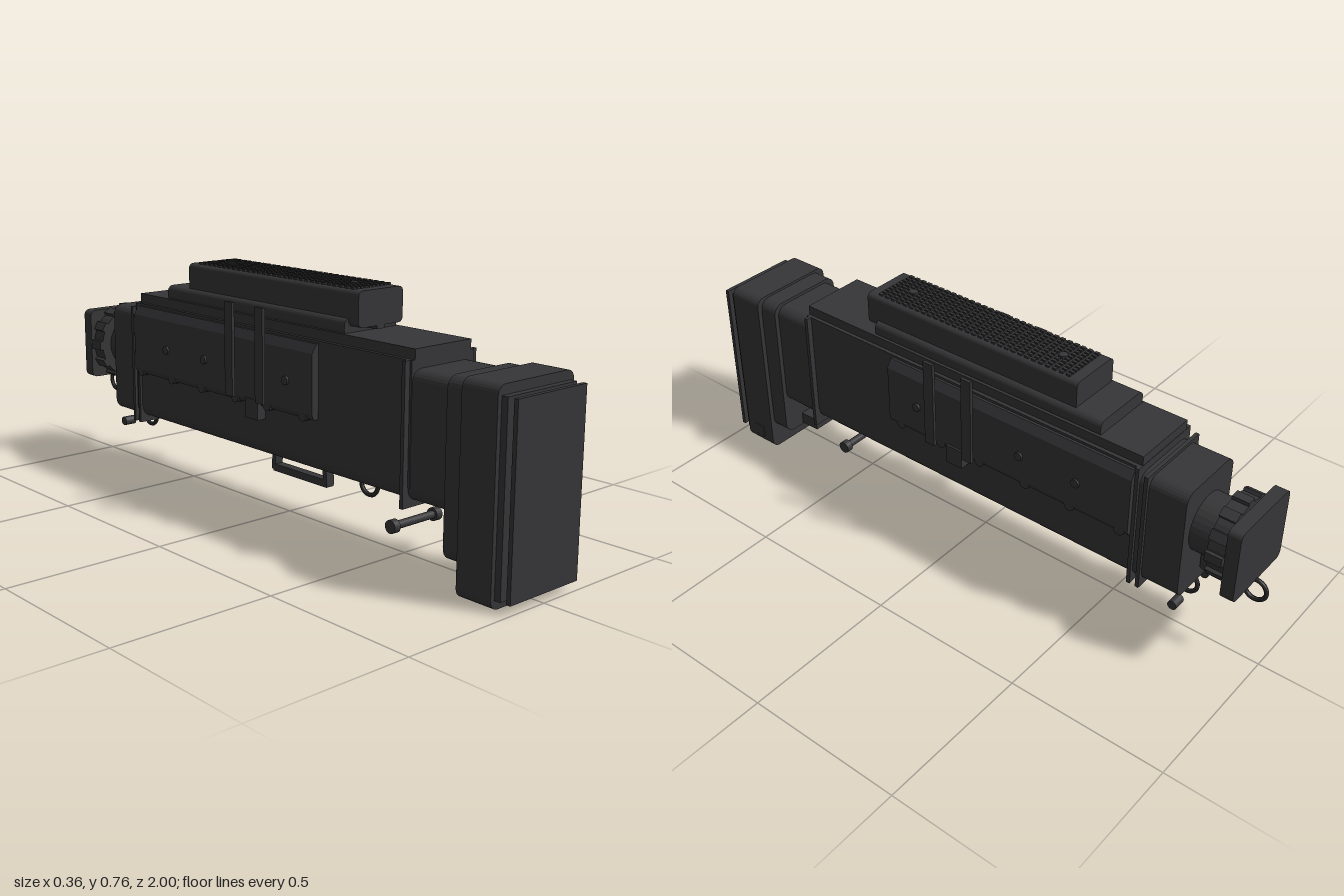
import * as THREE from 'three';

export function createModel() {
  const model = new THREE.Group();
  const mat = new THREE.MeshStandardMaterial({ color: 0x363638, flatShading: true });

  const add = (name, geo, x = 0, y = 0, z = 0) => {
    const m = new THREE.Mesh(geo, mat);
    m.name = name;
    m.position.set(x, y, z);
    model.add(m);
    return m;
  };
  // box given by its extents
  const box = (name, x0, x1, y0, y1, z0, z1) =>
    add(name, new THREE.BoxGeometry(x1 - x0, y1 - y0, z1 - z0), (x0 + x1) / 2, (y0 + y1) / 2, (z0 + z1) / 2);

  // prism along z with rounded corners: half width, bottom, top, z range, corner radius
  const prism = (name, w, y0, y1, z0, z1, r, seg = 3) => {
    const s = new THREE.Shape();
    s.moveTo(-w + r, y0);
    s.lineTo(w - r, y0);
    s.absarc(w - r, y0 + r, r, -Math.PI / 2, 0);
    s.absarc(w - r, y1 - r, r, 0, Math.PI / 2);
    s.absarc(-w + r, y1 - r, r, Math.PI / 2, Math.PI);
    s.absarc(-w + r, y0 + r, r, Math.PI, Math.PI * 1.5);
    const geo = new THREE.ExtrudeGeometry(s, { depth: z1 - z0, bevelEnabled: false, curveSegments: seg });
    return add(name, geo, 0, 0, z0);
  };
  // cylinders along each axis
  const cyl = (name, axis, r, len, x, y, z, seg = 20) => {
    const geo = new THREE.CylinderGeometry(r, r, len, seg);
    if (axis === 'x') geo.rotateZ(Math.PI / 2);
    if (axis === 'z') geo.rotateX(Math.PI / 2);
    return add(name, geo, x, y, z);
  };

  // front window plates and hood
  box('frontCoverPlate', -0.136, 0.136, 0.03, 0.565, 0.987, 1);
  box('frontWindow', -0.136, 0.136, 0.03, 0.565, 0.945, 0.968);
  prism('frontHood', 0.15, 0.003, 0.593, 0.83, 0.948, 0.028);
  prism('hoodCollar', 0.135, 0.085, 0.585, 0.768, 0.832, 0.035);
  box('hoodButton', 0.148, 0.153, 0.035, 0.075, 0.87, 0.91);
  box('hoodBracket', -0.06, 0.06, 0.09, 0.13, 0.7, 0.775);
  cyl('bracketPin', 'y', 0.008, 0.04, 0, 0.145, 0.725, 10);

  // body and stepped top
  prism('body', 0.12, 0.21, 0.575, -0.78, 0.77, 0.035);
  box('housing', -0.122, 0.122, 0.25, 0.6, -0.63, 0.63);
  box('housingTop', -0.11, 0.11, 0.59, 0.63, -0.63, 0.63);
  prism('topPlate', 0.103, 0.62, 0.672, -0.485, 0.35, 0.02);
  prism('topRail', 0.087, 0.648, 0.752, -0.39, 0.39, 0.016);
  box('railFrontStop', -0.015, 0.015, 0.638, 0.65, 0.35, 0.39);

  // end flanges around the housing
  for (const z of [0.617, -0.625, -0.655]) {
    const w = z > 0 ? 0.14 : 0.13;
    box('flange', -w, w, 0.192, z < -0.64 ? 0.585 : 0.6, z - 0.006, z + 0.006);
  }

  // raised grip bumps on the rail
  const bumps = new THREE.InstancedMesh(new THREE.BoxGeometry(0.01, 0.008, 0.014), mat, 300);
  bumps.name = 'gripBumps';
  const bumpGroup = new THREE.Group();
  bumpGroup.name = 'gripBumps';
  const bumpGeo = bumps.geometry;
  for (let i = 0; i < 10; i++) {
    for (let j = 0; j < 30; j++) {
      const b = new THREE.Mesh(bumpGeo, mat);
      b.name = 'gripBump';
      b.position.set(-0.068 + i * 0.0151, 0.754, -0.348 + j * 0.024);
      bumpGroup.add(b);
    }
  }
  model.add(bumpGroup);
  for (const z of [-0.28, 0.28]) cyl('railScrew', 'y', 0.014, 0.01, 0, 0.755, z, 12);

  // side panels, straps, latches and screws on both sides
  for (const s of [-1, 1]) {
    // panel with bevelled upper and lower edge
    const p = new THREE.Shape();
    p.moveTo(0.1, 0.37);
    p.lineTo(0.138, 0.37);
    p.lineTo(0.146, 0.385);
    p.lineTo(0.146, 0.565);
    p.lineTo(0.13, 0.592);
    p.lineTo(0.1, 0.592);
    const geo = new THREE.ExtrudeGeometry(p, { depth: 0.885, bevelEnabled: false });
    geo.translate(0, 0, -0.4425);
    if (s < 0) geo.rotateY(Math.PI);
    add('sidePanel', geo, 0, 0, -0.1775);

    for (const z of [0.07, -0.072]) {
      box('strap', s * 0.177 - 0.005, s * 0.177 + 0.005, 0.39, 0.677, z - 0.018, z + 0.018);
    }
    box('latch', s * 0.137 - 0.016, s * 0.137 + 0.016, 0.327, 0.388, -0.03, 0.03);
    for (const z of [0.15, -0.24, -0.44]) cyl('panelScrew', 'x', 0.014, 0.014, s * 0.145, 0.47, z, 12);
    for (const z of [0.22, 0.06, -0.09, -0.26, -0.42, -0.59]) {
      cyl('edgeScrew', 'x', 0.018, 0.03, s * 0.13, 0.378, z, 12);
    }
  }

  // underside plate and carrying handle
  box('bottomPlate', -0.05, 0.05, 0.202, 0.215, -0.1, 0.36);
  box('handleBar', -0.015, 0.015, 0.125, 0.148, -0.062, 0.185);
  for (const [z, tilt] of [[0.176, -0.08], [-0.058, 0.08]]) {
    box('handleLeg', -0.015, 0.015, 0.13, 0.215, z - 0.008, z + 0.008).rotation.x = tilt;
  }

  // hanging rings
  const ring = new THREE.TorusGeometry(0.034, 0.007, 8, 28);
  ring.rotateY(Math.PI / 2);
  add('frontRing', ring, 0, 0.175, 0.355);
  add('middleRing', ring, 0, 0.175, -0.745);
  add('rearRing', ring, 0, 0.265, -0.955);

  // cross pins
  cyl('frontPin', 'x', 0.012, 0.18, 0, 0.11, 0.535);
  for (const s of [-1, 1]) {
    cyl('frontPinHead', 'x', 0.02, 0.022, s * 0.085, 0.11, 0.535);
    cyl('rearPinHead', 'x', 0.015, 0.04, s * 0.085, 0.165, -0.76);
  }
  cyl('rearPeg', 'y', 0.02, 0.05, 0, 0.287, -0.8);

  // eyepiece: tube, ribbed focus ring and square end plate
  cyl('eyepieceTube', 'z', 0.09, 0.1, 0, 0.42, -0.82, 32);
  cyl('focusRing', 'z', 0.122, 0.053, 0, 0.42, -0.88, 32);
  for (let i = 0; i < 12; i++) {
    const a = (i / 12) * Math.PI * 2;
    const rib = add('focusRib', new THREE.BoxGeometry(0.02, 0.03, 0.053),
      Math.cos(a) * 0.122, 0.42 + Math.sin(a) * 0.122, -0.88);
    rib.rotation.z = a;
  }
  prism('eyepiecePlate', 0.13, 0.3, 0.537, -0.953, -0.912, 0.02);
  cyl('eyepieceNeck', 'z', 0.08, 0.03, 0, 0.42, -0.91, 24);

  return model;
}
